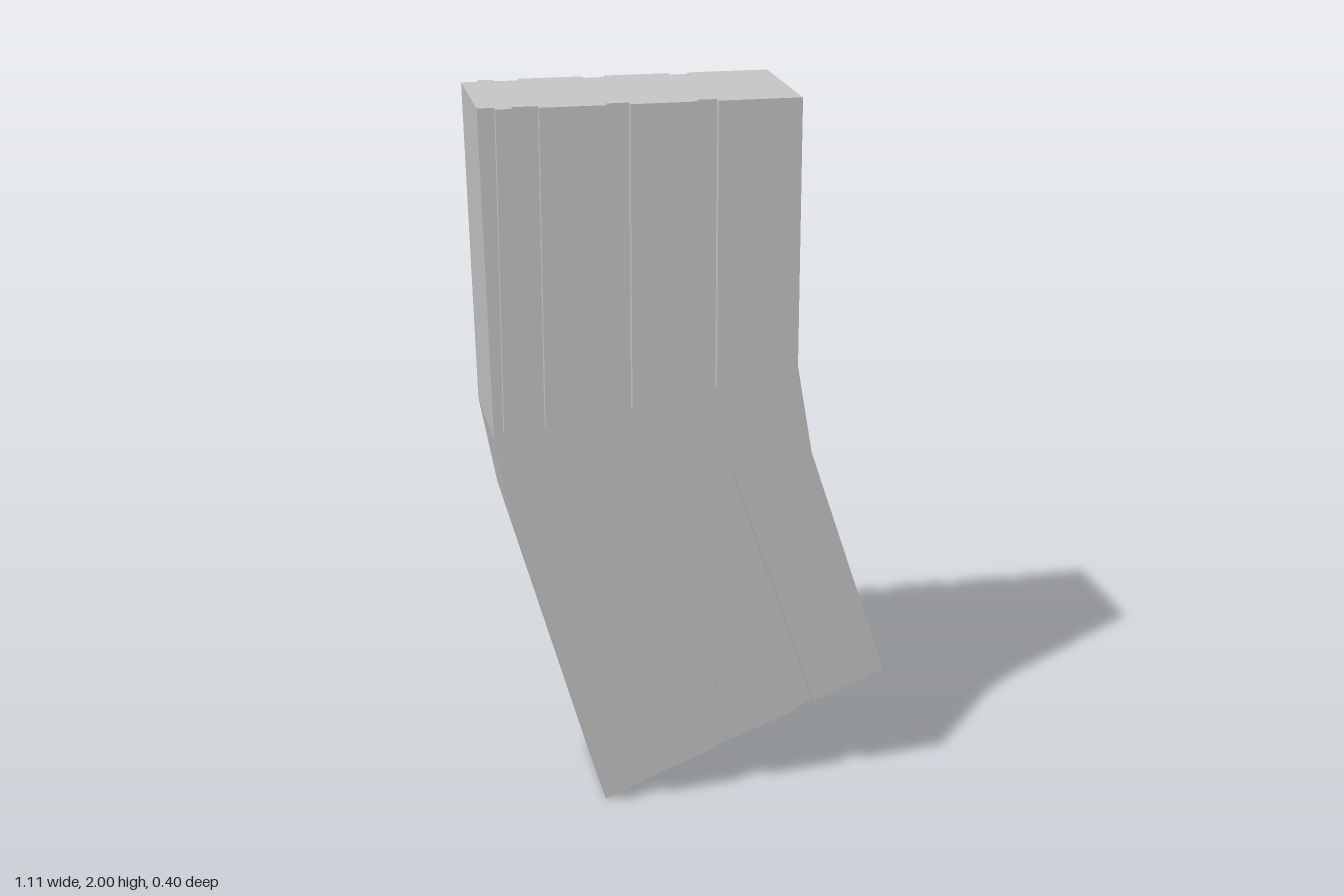
import * as THREE from 'three';

// Lengthwise edge lines as [x, y] at the top, upper bend, lower bend and bottom
const edges = {
  rear: [[-0.556, 2], [-0.536, 1.11], [-0.489, 0.855], [-0.246, 0.003]],
  a: [[-0.511, 2], [-0.511, 1.13], [-0.468, 0.868], [-0.225, 0.026]],
  b: [[-0.468, 2], [-0.468, 1.133], [-0.423, 0.88], [-0.182, 0.043]],
  c: [[-0.4, 2], [-0.4, 1.14], [-0.355, 0.89], [-0.112, 0.074]],
  d: [[-0.225, 2], [-0.225, 1.165], [-0.181, 0.915], [0.063, 0.143]],
  e: [[-0.165, 2], [-0.165, 1.175], [-0.123, 0.93], [0.125, 0.172]],
  f: [[0.012, 2], [0.012, 1.2], [0.054, 0.956], [0.301, 0.24]],
  g: [[0.066, 2], [0.066, 1.222], [0.112, 0.977], [0.354, 0.265]],
  front: [[0.289, 2], [0.289, 1.27], [0.332, 1.02], [0.556, 0.345]],
};

// Outline between two edge lines, with optional extra points along the bottom
function strip(left, right, bottom = []) {
  const points = [...left, ...bottom, ...[...right].reverse()];
  return new THREE.Shape(points.map(([x, y]) => new THREE.Vector2(x, y)));
}

export function createModel() {
  const model = new THREE.Group();
  model.name = 'curvedMagazine';
  const grey = new THREE.MeshStandardMaterial({ color: 0xc8c8c8 });
  grey.name = 'lightGrey';
  const core = 0.178, outer = 0.2;

  function slab(name, shape, z0, z1) {
    const geometry = new THREE.ExtrudeGeometry(shape, { depth: z1 - z0, bevelEnabled: false });
    geometry.translate(0, 0, z0);
    const mesh = new THREE.Mesh(geometry, grey);
    mesh.name = name;
    model.add(mesh);
  }

  // Inner body, forming the groove floors and the stepped rear edge
  const toe = [[0.49, 0.316]];
  slab('body', strip(edges.rear, edges.front, toe), -core, core);

  // Raised panels between the grooves on both sides
  const panels = [
    ['rearRib', edges.a, edges.b, []],
    ['rearPanel', edges.c, edges.d, []],
    ['middlePanel', edges.e, edges.f, []],
    ['frontPanel', edges.g, edges.front, toe],
  ];
  for (const [name, left, right, bottom] of panels) {
    const shape = strip(left, right, bottom);
    slab(name + 'Left', shape, core, outer);
    slab(name + 'Right', shape, -outer, -core);
  }
  return model;
}
